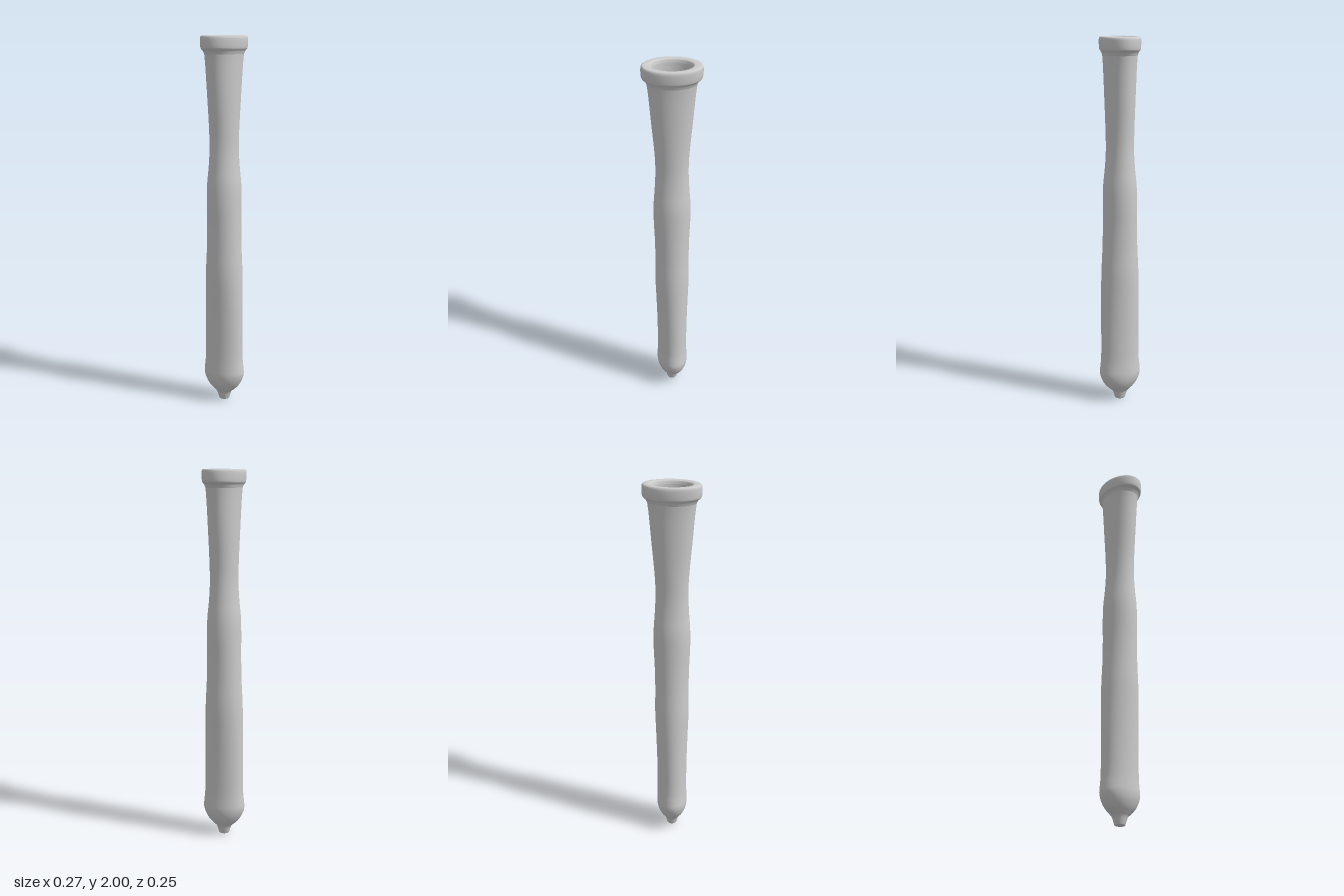
import * as THREE from 'three';

// Cross-sections: [y, half width along the first oval axis, half width along the second]
const outer = [
  [0, 0.001, 0.001], [0, 0.014, 0.015], [0.002, 0.025, 0.027], [0.012, 0.029, 0.031], [0.045, 0.039, 0.043],
  [0.06, 0.049, 0.06], [0.085, 0.066, 0.085], [0.12, 0.08, 0.105], [0.155, 0.085, 0.115], [0.19, 0.084, 0.113],
  [0.24, 0.082, 0.108], [0.42, 0.083, 0.106], [0.6, 0.088, 0.105], [0.74, 0.0925, 0.102],
  [0.88, 0.091, 0.095], [1.0, 0.093, 0.092], [1.13, 0.098, 0.091], [1.22, 0.097, 0.089], [1.32, 0.09, 0.079],
  [1.41, 0.086, 0.074], [1.5, 0.088, 0.075], [1.7, 0.105, 0.081], [1.86, 0.119, 0.087], [1.905, 0.125, 0.09],
];
const rim = [
  [1.922, 0.135, 0.096], [1.93, 0.145, 0.102], [1.938, 0.15, 0.105], [1.985, 0.152, 0.107],
  [1.995, 0.149, 0.104], [1.999, 0.143, 0.1], [1.999, 0.115, 0.082], [1.995, 0.106, 0.075],
];
const inner = [
  [1.98, 0.1, 0.07], [1.93, 0.096, 0.066], [1.86, 0.09, 0.064], [1.7, 0.08, 0.06], [1.5, 0.064, 0.054],
  [1.41, 0.061, 0.051], [1.2, 0.066, 0.06], [0.75, 0.066, 0.068], [0.24, 0.056, 0.072],
  [0.15, 0.055, 0.065], [0.1, 0.046, 0.046], [0.07, 0.03, 0.03], [0.055, 0.001, 0.001],
];

// Smooth skin through the sections; the oval's axes turn slightly with height
function loft(sections, sides = 64, perSpan = 5) {
  const curve = new THREE.CatmullRomCurve3(
    sections.map(([y, a, b]) => new THREE.Vector3(a, y, b)), false, 'centripetal');
  const rings = (sections.length - 1) * perSpan;
  const positions = [], index = [];
  for (let i = 0; i <= rings; i++) {
    const p = curve.getPoint(i / rings);
    const y = THREE.MathUtils.clamp(p.y, 0, 2);
    const turn = THREE.MathUtils.degToRad(-48 + 4.5 * y);
    const c = Math.cos(turn), s = Math.sin(turn);
    for (let j = 0; j < sides; j++) {
      const t = (j / sides) * Math.PI * 2;
      const u = p.x * Math.cos(t), v = p.z * Math.sin(t);
      positions.push(u * c - v * s, y, u * s + v * c);
      if (i < rings) {
        const k = (j + 1) % sides, r = i * sides, n = r + sides;
        index.push(r + j, n + j, r + k, n + j, n + k, r + k);
      }
    }
  }
  const geometry = new THREE.BufferGeometry();
  geometry.setAttribute('position', new THREE.Float32BufferAttribute(positions, 3));
  geometry.setIndex(index);
  geometry.computeVertexNormals();
  return geometry;
}

export function createModel() {
  const group = new THREE.Group();
  group.name = 'hollowSpike';
  const material = new THREE.MeshStandardMaterial({ color: 0xcccccc });
  const add = (name, sections) => {
    const mesh = new THREE.Mesh(loft(sections), material);
    mesh.name = name;
    group.add(mesh);
  };
  // Outer shaft with pointed tip, rounded collar, and the bore inside
  add('shaft', outer);
  add('collar', [outer.at(-1), ...rim, inner[0]]);
  add('bore', inner);
  return group;
}
